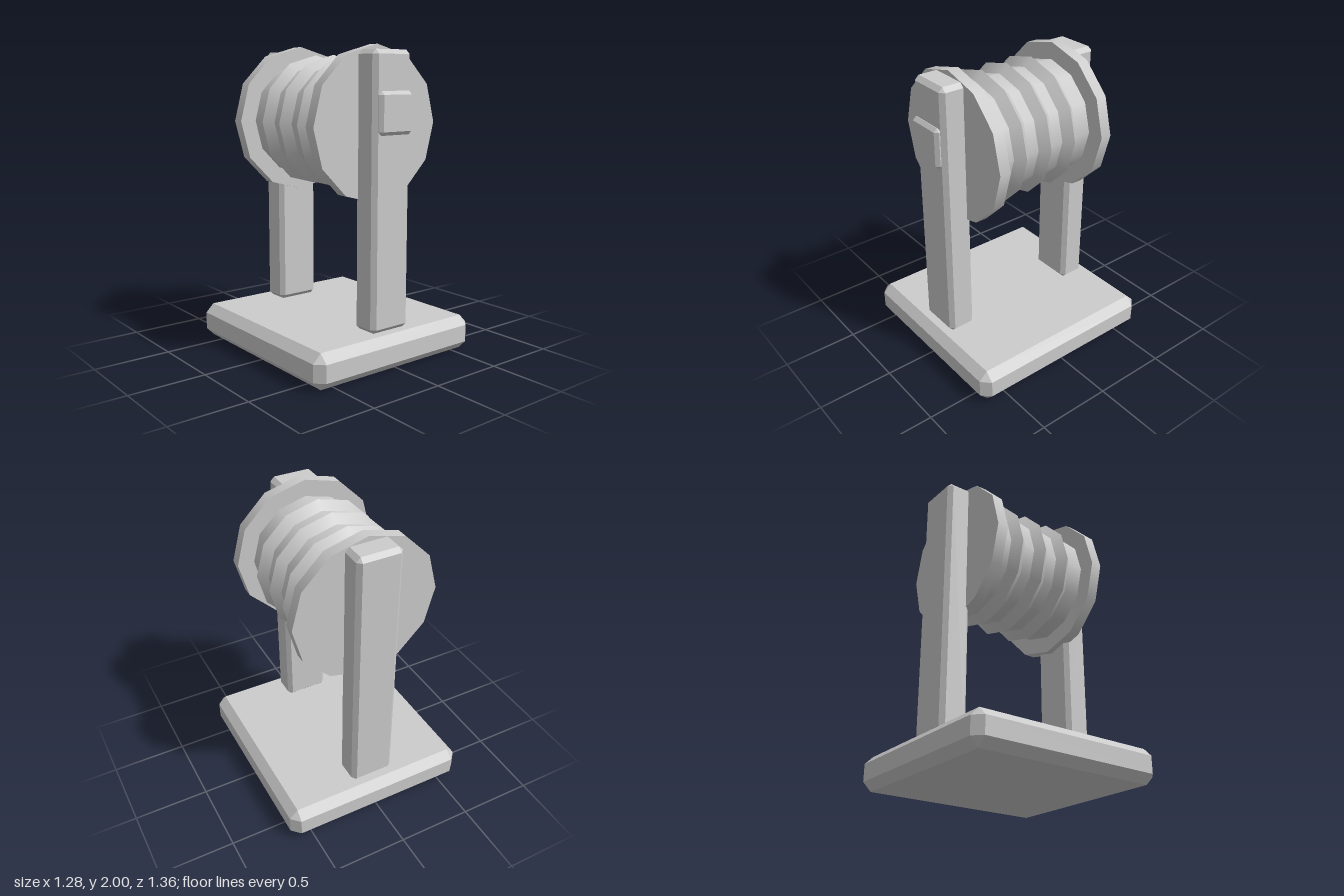
import * as THREE from 'three';
import { ConvexGeometry } from 'three/addons/geometries/ConvexGeometry.js';

const SIDES = 12;
const AXLE_Y = 1.51;

// Box with every edge and corner cut at 45 degrees
function chamferBox(w, h, d, c) {
  const points = [];
  for (const sx of [-1, 1]) for (const sy of [-1, 1]) for (const sz of [-1, 1]) {
    const [x, y, z] = [w / 2, h / 2, d / 2];
    points.push(
      new THREE.Vector3(sx * x, sy * (y - c), sz * (z - c)),
      new THREE.Vector3(sx * (x - c), sy * y, sz * (z - c)),
      new THREE.Vector3(sx * (x - c), sy * (y - c), sz * z));
  }
  return new ConvexGeometry(points);
}

export function createModel() {
  const group = new THREE.Group();
  const grey = new THREE.MeshStandardMaterial({ color: 0xcccccc });
  grey.name = 'plain grey';

  const add = (name, geometry, x, y, z) => {
    const mesh = new THREE.Mesh(geometry, grey);
    mesh.name = name;
    mesh.position.set(x, y, z);
    group.add(mesh);
  };

  // Turned section lying along z
  const turned = (name, rFront, rBack, length, z, open = false) => {
    const geometry = new THREE.CylinderGeometry(rFront, rBack, length, SIDES, 1, open);
    geometry.rotateX(Math.PI / 2);
    add(name, geometry, 0, AXLE_Y, z);
  };

  // Base slab
  add('base', chamferBox(1.28, 0.226, 1.36, 0.056), 0, 0.113, 0);

  // Upright posts and end discs
  for (const [side, s] of [['front', 1], ['back', -1]]) {
    add(side + 'Post', chamferBox(0.3, 1.74, 0.186, 0.028), 0, 1.095, s * 0.493);
    turned(side + 'Disc', 0.49, 0.49, 0.076, s * 0.397);
  }

  // Drum with three pointed ridges
  turned('drum', 0.377, 0.377, 0.74, 0);
  for (const z of [-0.19, 0, 0.19]) {
    turned('ridgeFront', 0.377, 0.432, 0.056, z + 0.028, true);
    turned('ridgeBack', 0.432, 0.377, 0.056, z - 0.028, true);
  }

  // Small plate on the front post
  add('plate', chamferBox(0.264, 0.264, 0.048, 0.022), 0, 1.588, 0.599);

  return group;
}
